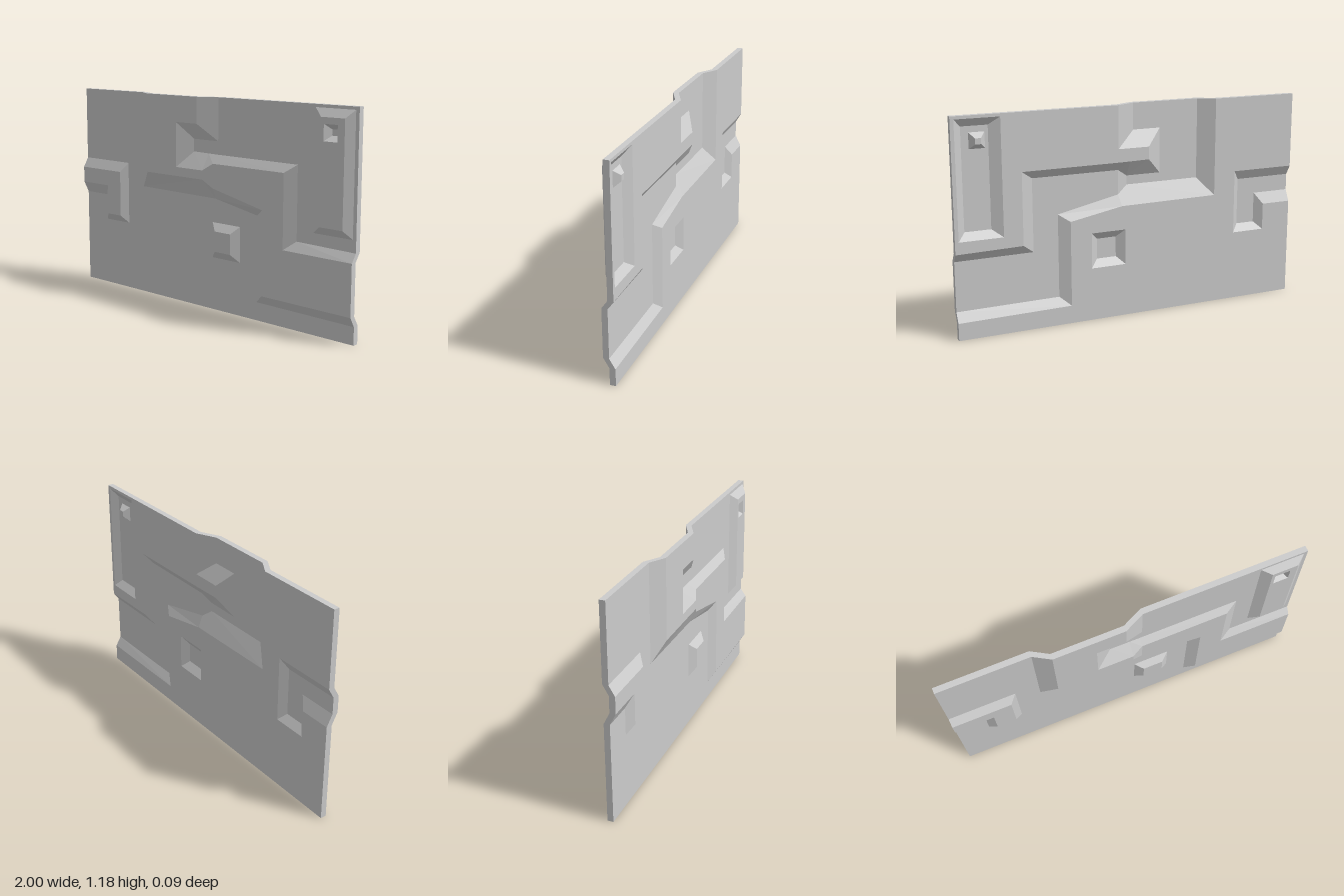
import * as THREE from 'three';

const H = 1.176;                       // panel height
const THICK = 0.032;                   // sheet thickness
const LOW = -0.0105, MID = 0.0215, HIGH = 0.0425; // front levels of the pressed sheet

const at = (z, ...pts) => pts.map(([x, y]) => new THREE.Vector3(x, y, z));
const rect = (z, x0, x1, y0, y1) => at(z, [x0, y0], [x1, y0], [x1, y1], [x0, y1]);

// Flat facet (with optional holes) as a list of triangles facing the front
function facet(outline, holes = []) {
  const all = [outline, ...holes].flat();
  const flat = (r) => r.map((p) => new THREE.Vector2(p.x, p.y));
  return THREE.ShapeUtils.triangulateShape(flat(outline), holes.map(flat)).map((t) => t.map((i) => all[i]));
}

// Sloping band between two matching paths
function band(a, b, closed = false) {
  const tris = [];
  for (let i = 0; i < a.length - (closed ? 0 : 1); i++) {
    const j = (i + 1) % a.length;
    tris.push([a[i], a[j], b[j]], [a[i], b[j], b[i]]);
  }
  return tris;
}

function mesh(name, points) {
  const geometry = new THREE.BufferGeometry().setFromPoints(points);
  geometry.computeVertexNormals();
  const m = new THREE.Mesh(geometry, new THREE.MeshStandardMaterial({ color: 0xcccccc, flatShading: true }));
  m.name = name;
  return m;
}

// Front skin plus the same skin shifted back and turned around
function sheet(name, tris) {
  const points = [];
  const back = (p) => new THREE.Vector3(p.x, p.y, p.z - THICK);
  for (const [a, b, c] of tris) {
    const area = (b.x - a.x) * (c.y - a.y) - (c.x - a.x) * (b.y - a.y);
    if (Math.abs(area) < 1e-9) continue;
    const [p, q, r] = area > 0 ? [a, b, c] : [a, c, b];
    points.push(p, q, r, back(p), back(r), back(q));
  }
  return mesh(name, points);
}

export function createModel() {
  const group = new THREE.Group();

  // Large raised area: foot and crest of its lower-left side
  const footA = at(LOW, [-0.5, H], [-0.5, 0.63], [0.07, 0.625], [0.07, 0.625], [0.37, 0.57], [0.37, 0.1], [1, 0.095]);
  const crestA = [
    ...at(HIGH, [-0.41, H], [-0.41, 0.73], [0.02, 0.73]),
    ...at(MID, [0.08, 0.685], [0.43, 0.61], [0.43, 0.15], [1, 0.148]),
  ];
  // ... and of its upper-right side, with the notch
  const footB = at(LOW, [0.09, H], [0.09, 0.94], [-0.09, 0.94], [-0.09, 0.87], [0.02, 0.868], [0.08, 0.867],
    [0.635, 0.865], [0.635, 0.47], [1, 0.465]);
  const crestB = [
    ...at(HIGH, [-0.02, H], [-0.02, 1.03], [-0.18, 1.03], [-0.18, 0.78], [0.02, 0.78]),
    ...at(MID, [0.08, 0.82], [0.57, 0.82], [0.57, 0.42], [1, 0.42]),
  ];

  // Bracket shape on the left edge
  const footC = at(LOW, [-1, 0.755], [-0.63, 0.755], [-0.63, 0.395], [-0.825, 0.395], [-0.825, 0.545], [-1, 0.545]);
  const crestC = at(MID, [-1, 0.7], [-0.67, 0.7], [-0.67, 0.437], [-0.78, 0.437], [-0.78, 0.608], [-1, 0.608]);

  // Small square boss
  const bossFoot = rect(LOW, 0.05, 0.25, 0.295, 0.492);
  const bossTop = rect(MID, 0.095, 0.207, 0.337, 0.45);

  // Tall box in the corner with a square pit
  const boxFoot = rect(LOW, 0.74, 0.98, 0.53, 1.16);
  const boxTop = rect(MID, 0.797, 0.94, 0.572, 1.118);
  const pitRim = rect(MID, 0.815, 0.9, 1.0, 1.085);
  const pitFloor = rect(LOW, 0.843, 0.874, 1.027, 1.058);

  const corner = (x, y) => at(LOW, [x, y])[0];
  const lowerBase = [corner(-1, 0), corner(1, 0), ...footA.filter((p, i) => i !== 3).reverse(), corner(-1, H), ...footC];

  group.add(
    sheet('lowerBase', facet(lowerBase, [bossFoot])),
    sheet('upperBase', facet([...footB, corner(1, H)], [boxFoot])),
    sheet('highPlateau', facet([...crestA.slice(0, 3), ...crestB.slice(0, 5).reverse()])),
    sheet('midPlateau', facet([...crestA.slice(3), ...crestB.slice(5).reverse()])),
    sheet('plateauStep', facet([crestA[2], crestA[3], crestB[5], crestB[4]])),
    sheet('plateauSlopes', [...band(footA, crestA), ...band(footB, crestB)]),
    sheet('leftBracket', [...facet(crestC), ...band(footC, crestC)]),
    sheet('squareBoss', [...facet(bossTop), ...band(bossFoot, bossTop, true)]),
    sheet('cornerBox', [...facet(boxTop, [pitRim]), ...band(boxFoot, boxTop, true)]),
    sheet('cornerPit', [...facet(pitFloor), ...band(pitRim, pitFloor, true)]),
  );

  // Rim that closes the sheet all the way round
  const edge = [
    corner(-1, 0), corner(1, 0), footA[6], crestA[6], crestB[8], footB[8], corner(1, H),
    footB[0], crestB[0], crestA[0], footA[0], corner(-1, H),
    footC[0], crestC[0], crestC[5], footC[5],
  ];
  const behind = edge.map((p) => new THREE.Vector3(p.x, p.y, p.z - THICK));
  group.add(mesh('rim', band(behind, edge, true).flat()));

  return group;
}
